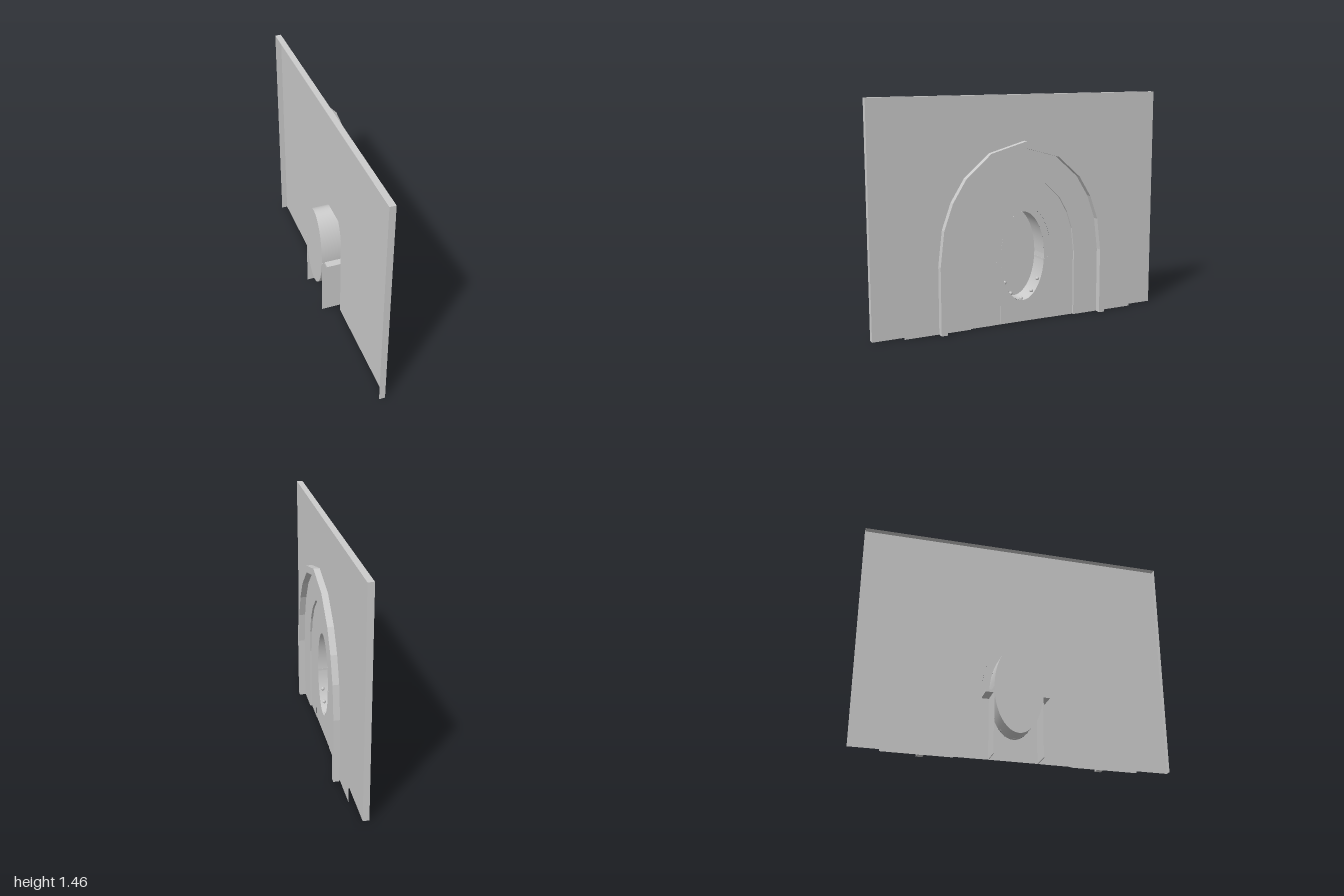
import * as THREE from 'three';

const mat = new THREE.MeshStandardMaterial({ color: 0xcccccc, side: THREE.DoubleSide, flatShading: true });
const smoothMat = new THREE.MeshStandardMaterial({ color: 0xcccccc, side: THREE.DoubleSide });
const SPRING = 0.43;

// Arch outline from the right foot over the crown to the left foot
function arch(halfWidth, top) {
  const right = [0, 17.5, 31.5, 45.5, 65.5, 90].map((d) => {
    const a = THREE.MathUtils.degToRad(d);
    return new THREE.Vector2(halfWidth * Math.cos(a), SPRING + (top - SPRING) * Math.sin(a));
  });
  const left = right.slice(0, -1).reverse().map((p) => new THREE.Vector2(-p.x, p.y));
  return [new THREE.Vector2(halfWidth, 0), ...right, ...left, new THREE.Vector2(-halfWidth, 0)];
}

// Band between two arches, open at the floor
function band(outer, inner) {
  return new THREE.Shape([...outer, ...inner.slice().reverse()]);
}

export function createModel() {
  const group = new THREE.Group();

  function add(name, geometry, material = mat) {
    const mesh = new THREE.Mesh(geometry, material);
    mesh.name = name;
    group.add(mesh);
    return mesh;
  }
  // Flat sheet facing +x
  function sheet(name, shape, x) {
    add(name, new THREE.ShapeGeometry(shape, 48).rotateY(Math.PI / 2).translate(x, 0, 0));
  }
  // Open wall following an outline between two x positions
  function wall(name, pts, x0, x1, material) {
    const pos = [], idx = [];
    pts.forEach((p, i) => {
      pos.push(x0, p.y, -p.x, x1, p.y, -p.x);
      if (i) idx.push(2 * i - 2, 2 * i - 1, 2 * i, 2 * i - 1, 2 * i + 1, 2 * i);
    });
    const g = new THREE.BufferGeometry();
    g.setAttribute('position', new THREE.Float32BufferAttribute(pos, 3));
    g.setIndex(idx);
    g.computeVertexNormals();
    add(name, g, material);
  }
  function box(name, sx, sy, sz, x, y, z) {
    add(name, new THREE.BoxGeometry(sx, sy, sz).translate(x, y, z));
  }

  // Main wall: front skin with a notch for the niche, and thin returns at ends and top
  const skin = [[-1, 0], [-0.205, 0], [-0.205, 0.72], [0.205, 0.72], [0.205, 0], [1, 0], [1, 1.455], [-1, 1.455]];
  sheet('wallSkin', new THREE.Shape(skin.map(([u, y]) => new THREE.Vector2(u, y))), 0.012);
  const rim = [[1, 0], [1, 1.455], [-1, 1.455], [-1, 0]].map(([u, y]) => new THREE.Vector2(u, y));
  wall('wallReturns', rim, -0.027, 0.012, mat);

  // Stepped arches
  const recess = arch(0.37, 0.94), jamb = arch(0.205, 0.765);
  sheet('archPanel', band(arch(0.81, 1.415), recess), 0.05);
  add('archMoulding', new THREE.ExtrudeGeometry(band(arch(0.585, 1.17), arch(0.545, 1.125)),
    { depth: 0.04, bevelEnabled: false }).rotateY(Math.PI / 2).translate(0.053, 0, 0));
  wall('recessStep', recess, 0.037, 0.05, mat);
  sheet('recessPanel', band(recess, jamb), 0.037);

  // Oval niche with surround, tube and back
  const surround = new THREE.Shape(jamb);
  const oval = new THREE.Path().absellipse(0, SPRING, 0.155, 0.29, 0, Math.PI * 2);
  surround.holes.push(oval);
  sheet('ovalSurround', surround, 0.035);
  wall('ovalTube', oval.getPoints(24), -0.098, 0.035, smoothMat);
  sheet('ovalBack', new THREE.Shape(oval.getPoints(24)), -0.098);

  // Supports and ledges beside the niche
  for (const s of [1, -1]) {
    box('sidePlate', 0.134, 0.4, 0.004, -0.031, 0.2, s * 0.155);
    box('sideLedge', 0.115, 0.015, 0.05, -0.022, 0.4, s * 0.18);
  }

  // Small studs along the lower rim
  for (const [z, y] of [[0, 0.147], [0.075, 0.19], [-0.075, 0.19], [0.118, 0.265], [-0.118, 0.265]]) {
    add('stud', new THREE.SphereGeometry(0.012, 12, 8).translate(0.012, y, z), smoothMat);
  }

  return group;
}
